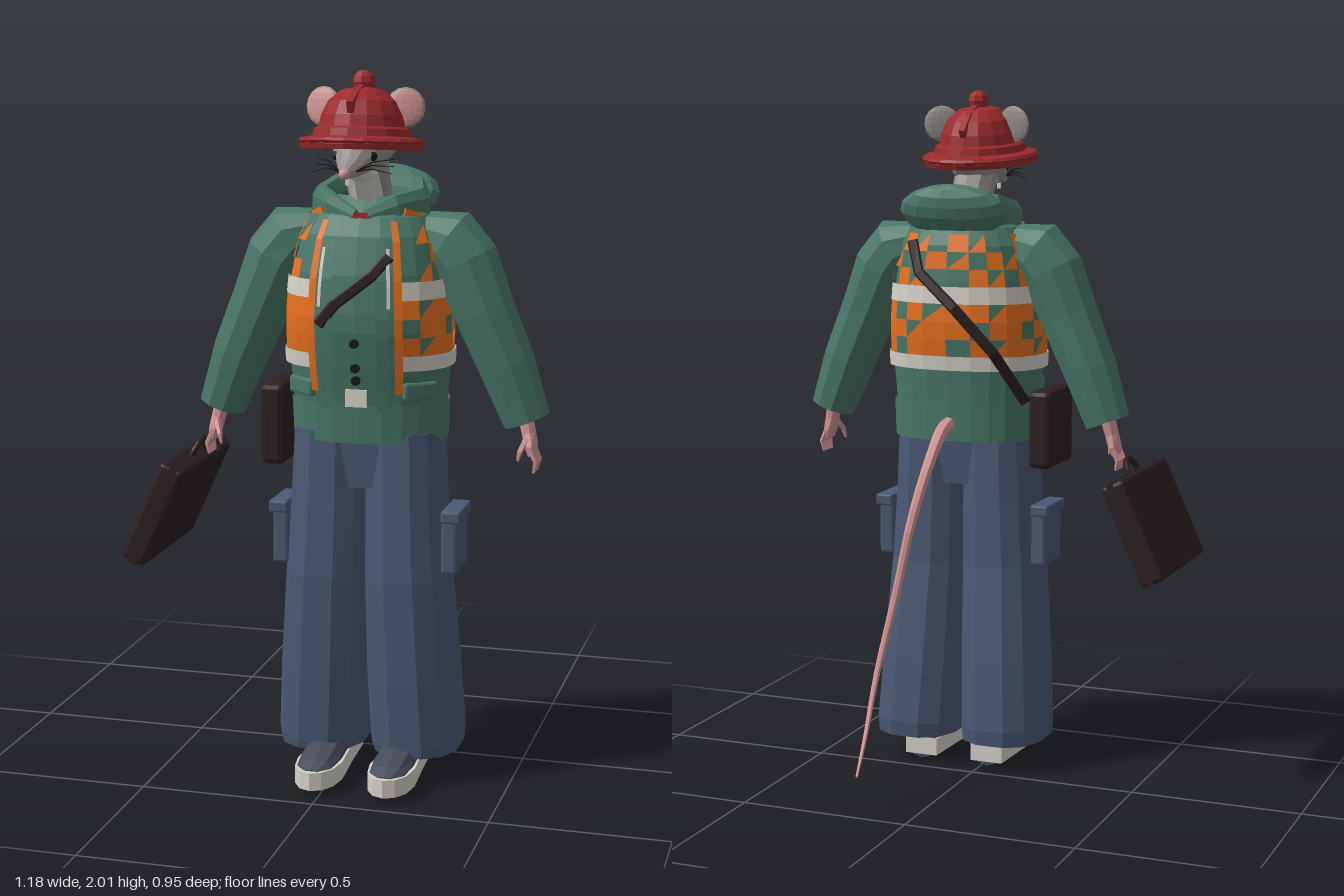
import * as THREE from 'three';
import { RoundedBoxGeometry } from 'three/addons/geometries/RoundedBoxGeometry.js';

const CX = 0.083; // body's centre line
const MATS = {};
const colours = {
  jacketGreen: 0x4a7868, vestOrange: 0xee7420, paleGrey: 0xd6d2c8, trouserBlue: 0x4b5974, hatRed: 0x9c2a2d,
  leatherBrown: 0x2b2022, skinPink: 0xd39494, furGrey: 0x96918d, black: 0x161516, shoeSlate: 0x474c5a,
};

function add(parent, name, geo, mat, x = 0, y = 0, z = 0) {
  const m = new THREE.Mesh(geo, MATS[mat]);
  m.name = name;
  m.position.set(x, y, z);
  parent.add(m);
  return m;
}

const pow = (v, p) => Math.sign(v) * Math.abs(v) ** p;

// Closed loft along rows [x, y, z, radius along ref, other radius]; p < 1 squares the section
function sweep(rows, n, ref, p = 1) {
  const P = rows.map(r => new THREE.Vector3(r[0], r[1], r[2]));
  const R = new THREE.Vector3(...ref), pos = [], idx = [];
  rows.forEach((r, i) => {
    const t = P[Math.min(i + 1, P.length - 1)].clone().sub(P[Math.max(i - 1, 0)]).normalize();
    const b = t.clone().cross(R).normalize(), a = b.clone().cross(t);
    for (let j = 0; j < n; j++) {
      const q = (j + 0.5) / n * Math.PI * 2;
      const v = P[i].clone().addScaledVector(a, r[3] * pow(Math.cos(q), p)).addScaledVector(b, (r[4] ?? r[3]) * pow(Math.sin(q), p));
      pos.push(v.x, v.y, v.z);
    }
  });
  const L = rows.length - 1, c0 = pos.length / 3;
  pos.push(...P[0].toArray(), ...P[L].toArray());
  for (let j = 0; j < n; j++) {
    const k = (j + 1) % n;
    for (let i = 0; i < L; i++) {
      const A = i * n + j, B = i * n + k;
      idx.push(A, B, B + n, A, B + n, A + n);
    }
    idx.push(c0, k, j, c0 + 1, L * n + j, L * n + k);
  }
  const g = new THREE.BufferGeometry();
  g.setAttribute('position', new THREE.Float32BufferAttribute(pos, 3));
  g.setIndex(idx);
  g.computeVertexNormals();
  return g;
}

// Torso profile: y, half width, half depth, centre z
const TORSO = [[0.99, 0.212, 0.148, 0.172], [1.1, 0.216, 0.152, 0.174], [1.2, 0.226, 0.165, 0.18], [1.32, 0.228, 0.182, 0.182],
  [1.45, 0.218, 0.172, 0.18], [1.56, 0.195, 0.15, 0.172], [1.62, 0.16, 0.12, 0.168], [1.66, 0.09, 0.075, 0.165]];

// Point on the torso: height, angle from the front in degrees, distance off the surface
function torsoAt(y, deg, off = 0) {
  let i = 0;
  while (i < TORSO.length - 2 && y > TORSO[i + 1][0]) i++;
  const A = TORSO[i], B = TORSO[i + 1], f = (y - A[0]) / (B[0] - A[0]);
  const [rx, rz, cz] = [1, 2, 3].map(k => A[k] + (B[k] - A[k]) * f);
  const q = deg * Math.PI / 180;
  return [CX + (rx + off) * pow(Math.sin(q), 0.85), y, cz + (rz + off) * pow(Math.cos(q), 0.85)];
}

// Sheet following the torso; keep(deg, y) cuts cells away
function wrap(d0, d1, y0, y1, off, dStep = 15, yStep = 0.05, keep = () => true) {
  const pos = [], nd = Math.max(1, Math.round((d1 - d0) / dStep)), ny = Math.max(1, Math.round((y1 - y0) / yStep));
  for (let i = 0; i < nd; i++) for (let j = 0; j < ny; j++) {
    const a = d0 + (d1 - d0) * i / nd, b = d0 + (d1 - d0) * (i + 1) / nd;
    const u = y0 + (y1 - y0) * j / ny, v = y0 + (y1 - y0) * (j + 1) / ny;
    const A = torsoAt(u, a, off), B = torsoAt(u, b, off), C = torsoAt(v, b, off), D = torsoAt(v, a, off);
    const k = keep((a + b) / 2, (u + v) / 2);
    if (k) pos.push(...A, ...B, ...C);
    if (k === true) pos.push(...A, ...C, ...D);
  }
  const g = new THREE.BufferGeometry();
  g.setAttribute('position', new THREE.Float32BufferAttribute(pos, 3));
  g.computeVertexNormals();
  return g;
}

function buildHead(g) {
  const X = [1, 0, 0];
  add(g, 'neck', sweep([[CX, 1.56, 0.17, 0.07, 0.06], [CX, 1.66, 0.185, 0.06, 0.06], [CX, 1.75, 0.24, 0.064, 0.062], [CX, 1.82, 0.26, 0.07, 0.07]], 10, X), 'furGrey');
  add(g, 'throat', sweep([[CX, 1.59, 0.2, 0.05, 0.045], [CX, 1.66, 0.21, 0.05, 0.045], [CX, 1.735, 0.27, 0.048, 0.04], [CX, 1.745, 0.36, 0.03, 0.02]], 8, X), 'paleGrey');
  add(g, 'head', sweep([[CX, 1.82, 0.16, 0.05, 0.05], [CX, 1.81, 0.21, 0.085, 0.075], [CX, 1.8, 0.27, 0.088, 0.075], [CX, 1.775, 0.34, 0.06, 0.052],
    [CX, 1.75, 0.4, 0.034, 0.03], [CX, 1.737, 0.455, 0.014, 0.014]], 10, X), 'furGrey');
  add(g, 'nose', new THREE.IcosahedronGeometry(0.015, 1), 'skinPink', CX, 1.738, 0.457);
  add(g, 'teeth', new THREE.BoxGeometry(0.012, 0.018, 0.006), 'paleGrey', CX, 1.715, 0.425);
  for (const s of [-1, 1]) {
    add(g, 'eye', new THREE.SphereGeometry(0.013, 8, 6), 'black', CX + s * 0.05, 1.778, 0.352);
    for (let i = 0; i < 3; i++)
      add(g, 'whisker', sweep([[CX + s * 0.02, 1.742, 0.425, 0.0022], [CX + s * 0.06, 1.75 + i * 0.008, 0.41 - i * 0.01, 0.002],
        [CX + s * 0.11, 1.735 + i * 0.018, 0.38 - i * 0.02, 0.001]], 4, [0, 1, 0]), 'black');
    const ear = new THREE.Group();
    ear.name = 'ear';
    ear.position.set(CX + s * 0.115, 1.903, 0.253);
    ear.rotation.set(-0.12, s * 0.28, 0);
    add(ear, 'earBack', new THREE.SphereGeometry(0.054, 14, 8), 'furGrey').scale.z = 0.2;
    add(ear, 'earInner', new THREE.SphereGeometry(0.049, 14, 8), 'skinPink', 0, 0, 0.005).scale.z = 0.18;
    g.add(ear);
  }
}

function buildHat(g) {
  const hat = new THREE.Group();
  hat.name = 'hat';
  hat.position.set(CX, 1.81, 0.273);
  hat.rotation.x = -0.09;
  const prof = [[0.11, -0.012], [0.163, -0.022], [0.167, -0.008], [0.163, 0.008], [0.134, 0.014], [0.13, 0.034], [0.118, 0.04], [0.112, 0.07], [0.094, 0.108], [0.06, 0.138], [0, 0.15]];
  add(hat, 'hatShell', new THREE.LatheGeometry(prof.map(p => new THREE.Vector2(...p)), 16), 'hatRed').scale.z = 1.16;
  add(hat, 'brimRim', new THREE.TorusGeometry(0.163, 0.008, 5, 20).rotateX(Math.PI / 2), 'hatRed').scale.z = 1.16;
  g.add(hat);
  // Crest running front to back, and the knob
  const crest = new THREE.Shape([[-0.407, 1.925], [-0.33, 1.955], [-0.25, 1.97], [-0.17, 1.93], [-0.12, 1.885], [-0.14, 1.86], [-0.25, 1.88], [-0.395, 1.895]].map(p => new THREE.Vector2(...p)));
  add(g, 'hatCrest', new THREE.ExtrudeGeometry(crest, { depth: 0.018, bevelEnabled: false }).rotateY(Math.PI / 2), 'hatRed', CX - 0.009);
  add(g, 'hatKnob', new THREE.SphereGeometry(0.032, 8, 6), 'hatRed', CX, 1.97, 0.255);
}

function buildJacket(g) {
  add(g, 'torso', wrap(0, 360, 0.99, 1.66, 0, 15, 0.05), 'jacketGreen');
  add(g, 'hem', wrap(0, 360, 0.985, 1.095, 0.007), 'jacketGreen');
  // Vest panels, with the torso showing through in places
  add(g, 'vestLower', wrap(30, 330, 1.235, 1.39, 0.008, 15, 0.05, (d, y) => {
    const k = (Math.floor(d / 15) * 7 + Math.round(y * 20) * 5) % 11;
    return d > 285 || k > 3 ? true : k > 1 ? 'half' : false;
  }), 'vestOrange');
  add(g, 'vestUpper', wrap(45, 315, 1.44, 1.59, 0.008, 15, 0.05, (d, y) => {
    const k = (Math.floor(d / 15) * 5 + Math.round(y * 20) * 3) % 7;
    return k > 4 ? true : k > 2 ? 'half' : false;
  }), 'vestOrange');
  add(g, 'upperBand', wrap(30, 330, 1.39, 1.44, 0.01), 'paleGrey');
  add(g, 'lowerBand', wrap(30, 330, 1.195, 1.237, 0.013), 'paleGrey');
  for (const s of [-1, 1]) {
    const e = s * 27;
    add(g, 'vestEdge', wrap(e - 3, e + 3, 1.13, 1.6, 0.014, 6), 'vestOrange');
    add(g, 'frontStrap', wrap(s * 16 - 4, s * 16 + 4, 1.08, 1.55, 0.018, 8), 'jacketGreen');
    add(g, 'drawstring', wrap(s * 20 - 1.2, s * 20 + 1.2, 1.37, 1.53, 0.02, 3), 'paleGrey');
    add(g, 'pocketFlap', new RoundedBoxGeometry(0.1, 0.05, 0.03, 1, 0.008), 'jacketGreen', CX + s * 0.165, 1.135, 0.285).rotation.y = s * 0.65;
    // Sleeves
    const row = (dx, y, z, a, b) => [CX + s * dx, y, z, a, b];
    add(g, 'sleeve', sweep([row(0.15, 1.56, 0.17, 0.07, 0.06), row(0.22, 1.535, 0.172, 0.092, 0.098), row(0.265, 1.48, 0.174, 0.095, 0.098), row(0.32, 1.35, 0.176, 0.09, 0.088),
      row(0.385, 1.2, 0.172, 0.083, 0.082), row(0.443, 1.045, 0.168, 0.07, 0.068)], 10, [0, 0, 1]), 'jacketGreen');
    // Collar wings
    add(g, 'collar', sweep([row(0.02, 1.6, 0.285, 0.03, 0.012), row(0.09, 1.625, 0.255, 0.045, 0.022), row(0.14, 1.635, 0.18, 0.05, 0.03), row(0.11, 1.65, 0.09, 0.06, 0.03)], 8, [0, 1, 0]), 'jacketGreen');
    add(g, 'shoulderTrim', new THREE.BoxGeometry(0.05, 0.018, 0.02), 'vestOrange', CX + s * 0.13, 1.615, 0.24).rotation.set(0, s * 0.7, -s * 0.3);
  }
  const hood = add(g, 'hood', new THREE.SphereGeometry(1, 14, 8), 'jacketGreen', CX, 1.655, 0.06);
  hood.scale.set(0.168, 0.085, 0.05);
  hood.rotation.x = -0.45;
  add(g, 'redNeckerchief', new THREE.BoxGeometry(0.04, 0.05, 0.012), 'hatRed', CX, 1.595, 0.29);
  add(g, 'tag', new THREE.BoxGeometry(0.06, 0.048, 0.008), 'paleGrey', CX, 1.115, 0.338);
  for (const y of [1.165, 1.27, 1.2])
    add(g, 'button', new THREE.CylinderGeometry(0.013, 0.013, 0.012, 8).rotateX(Math.PI / 2), 'black', ...torsoAt(y, 0, 0.004));
}

function buildHands(g) {
  for (const s of [-1, 1]) {
    const row = (dx, y, z, a, b) => [CX + s * dx, y, z, a, b];
    add(g, 'hand', sweep([row(0.44, 1.06, 0.172, 0.024, 0.022), row(0.452, 1.01, 0.178, 0.025, 0.02), row(0.46, 0.975, 0.182, 0.036, 0.018), row(0.465, 0.95, 0.184, 0.033, 0.013)], 8, [0, 0, 1]), 'skinPink');
    for (let i = 0; i < 4; i++) {
      const z = 0.157 + i * 0.018;
      add(g, 'finger', sweep([row(0.464, 0.965, z, 0.009), row(0.478, 0.935, z, 0.008), row(0.472, 0.905, z, 0.004)], 5, [0, 0, 1]), 'skinPink');
    }
    add(g, 'thumb', sweep([row(0.45, 1.0, 0.2, 0.009), row(0.435, 0.965, 0.222, 0.008), row(0.43, 0.94, 0.225, 0.004)], 5, [0, 0, 1]), 'skinPink');
  }
}

function buildLegs(g) {
  add(g, 'hips', sweep([[CX, 0.85, 0.184, 0.19, 0.11], [CX, 1.02, 0.182, 0.207, 0.125]], 12, [1, 0, 0], 0.8), 'trouserBlue');
  const sole = new THREE.Shape();
  sole.moveTo(-0.05, 0.055).lineTo(0.05, 0.055).lineTo(0.056, 0.2).lineTo(0.066, 0.34);
  sole.bezierCurveTo(0.066, 0.49, -0.066, 0.49, -0.066, 0.34).lineTo(-0.056, 0.2);
  for (const s of [-1, 1]) {
    const row = (dx, y, z, a, b) => [CX + s * dx, y, z, a, b];
    add(g, 'trouserLeg', sweep([row(0.137, 0.075, 0.152, 0.128, 0.155), row(0.137, 0.11, 0.152, 0.132, 0.16), row(0.128, 0.3, 0.168, 0.13, 0.157),
      row(0.115, 0.6, 0.188, 0.121, 0.142), row(0.108, 0.8, 0.186, 0.114, 0.132), row(0.104, 1.01, 0.183, 0.108, 0.126)], 12, [1, 0, 0], 0.8), 'trouserBlue');
    add(g, 'cargoPocket', new RoundedBoxGeometry(0.045, 0.17, 0.145, 1, 0.008), 'trouserBlue', CX + s * 0.245, 0.695, 0.188);
    add(g, 'cargoFlap', new RoundedBoxGeometry(0.055, 0.035, 0.158, 1, 0.006), 'trouserBlue', CX + s * 0.25, 0.775, 0.188);
    // Shoes
    const x = CX + s * 0.106;
    add(g, 'sole', new THREE.ExtrudeGeometry(sole, { depth: 0.052, bevelEnabled: false, curveSegments: 6 }).rotateX(Math.PI / 2), 'paleGrey', x, 0.06);
    add(g, 'shoeUpper', sweep([[x, 0.055, 0.06, 0.046, 0.06], [x, 0.055, 0.2, 0.052, 0.065], [x, 0.05, 0.32, 0.06, 0.052], [x, 0.05, 0.4, 0.052, 0.032], [x, 0.05, 0.435, 0.025, 0.014]], 10, [1, 0, 0], 0.8), 'shoeSlate');
    for (const [z, d, w] of [[0.12, 0.11, 0.096], [0.32, 0.15, 0.112]])
      add(g, 'tread', new THREE.BoxGeometry(w, 0.009, d), 'black', x, 0.0045, z);
  }
}

function buildBags(g) {
  // Briefcase hanging from the right hand
  const bag = new THREE.Group();
  bag.name = 'briefcase';
  bag.position.set(-0.5, 0.76, 0.18);
  bag.rotation.z = -0.43;
  add(bag, 'caseBody', new RoundedBoxGeometry(0.074, 0.31, 0.43, 1, 0.012), 'leatherBrown');
  add(bag, 'caseSeam', new THREE.BoxGeometry(0.02, 0.314, 0.434), 'leatherBrown', 0.005);
  add(bag, 'caseHandle', new THREE.TorusGeometry(0.045, 0.009, 6, 10, Math.PI).rotateY(Math.PI / 2), 'leatherBrown', 0, 0.153, 0);
  g.add(bag);
  add(g, 'hipPouch', new RoundedBoxGeometry(0.068, 0.23, 0.21, 1, 0.015), 'leatherBrown', -0.173, 1.02, 0.195);
  // Shoulder strap, front and back lengths
  const strap = (pts, ref) => sweep(pts.map(([y, d]) => [...torsoAt(y, d, 0.018), 0.005, 0.016]), 6, ref, 0.6);
  add(g, 'strapFront', strap([[1.32, -20], [1.38, -9], [1.46, 10], [1.51, 21]], [0, 0, 1]), 'leatherBrown');
  add(g, 'strapBack', strap([[1.57, 150], [1.48, 162], [1.38, 185], [1.25, 212], [1.1, 245]], [0.3, 0, 1]), 'leatherBrown');
}

function buildTail(g) {
  const curve = new THREE.CatmullRomCurve3([[0.083, 1.04, 0.05], [0.083, 1.025, -0.02], [0.088, 0.96, -0.09], [0.115, 0.79, -0.17], [0.15, 0.575, -0.21],
    [0.181, 0.34, -0.285], [0.175, 0.19, -0.375], [0.157, 0.1, -0.475]].map(p => new THREE.Vector3(...p)));
  add(g, 'tail', sweep(curve.getPoints(24).map((p, i) => [p.x, p.y, p.z, 0.023 - 0.0008 * i]), 7, [1, 0, 0]), 'skinPink');
}

export function createModel() {
  for (const [name, color] of Object.entries(colours)) {
    MATS[name] = new THREE.MeshStandardMaterial({ color, flatShading: true, side: THREE.DoubleSide });
    MATS[name].name = name;
  }
  const model = new THREE.Group();
  model.name = 'figure';
  for (const build of [buildHead, buildHat, buildJacket, buildHands, buildLegs, buildBags, buildTail]) build(model);
  return model;
}
